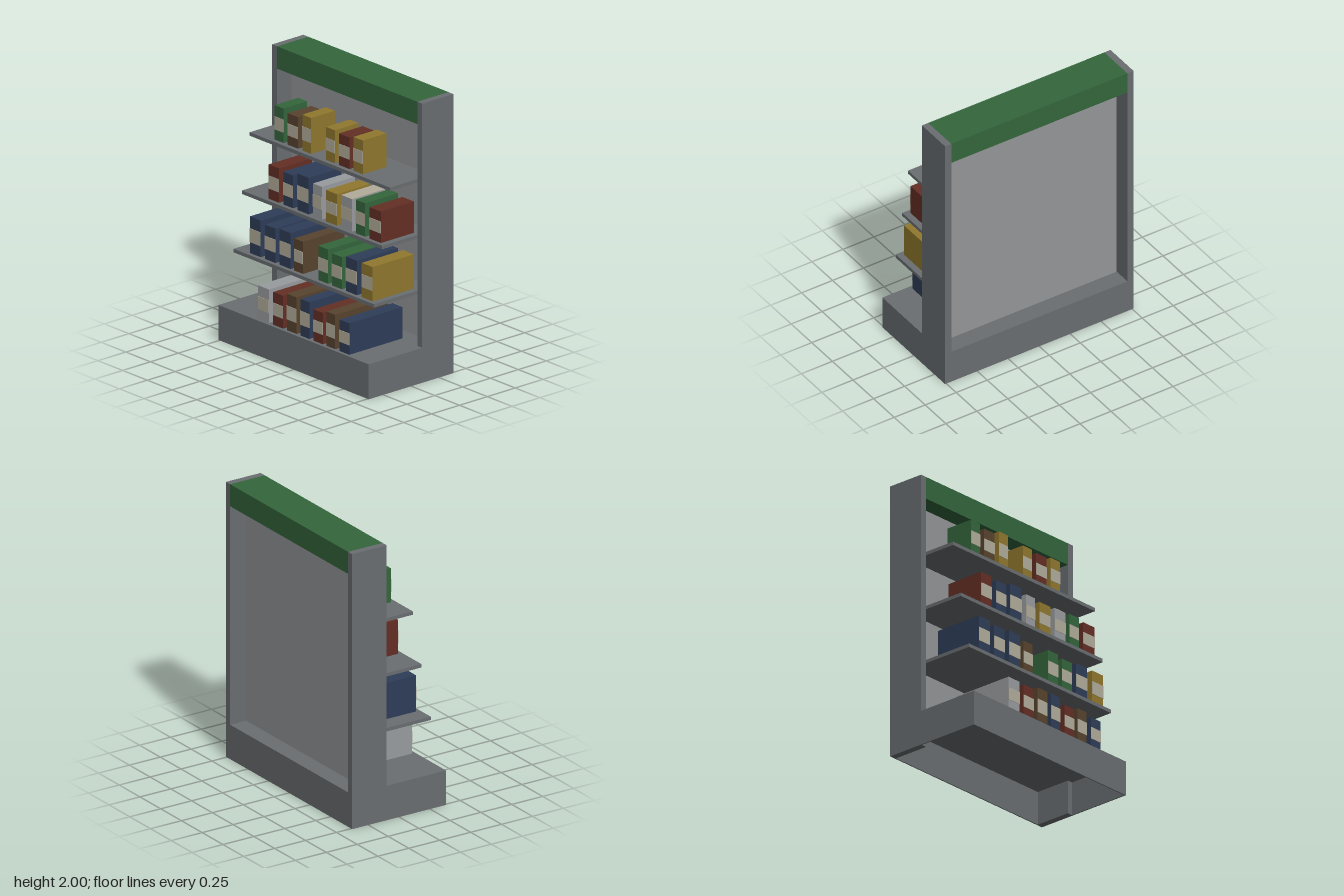
import * as THREE from 'three';

const paint = (name, color) => {
  const m = new THREE.MeshStandardMaterial({ color });
  m.name = name;
  return m;
};

export function createModel() {
  const mats = {
    frame: paint('frameGrey', 0x6a6e71),
    panel: paint('panelGrey', 0x949698),
    green: paint('green', 0x34663c),
    red: paint('red', 0x642e25),
    blue: paint('blue', 0x2e3d58),
    brown: paint('brown', 0x58442e),
    yellow: paint('yellow', 0x90782d),
    white: paint('paleGrey', 0x999c9f),
    cream: paint('cream', 0xb2ac9b),
  };
  const model = new THREE.Group();
  model.name = 'shopShelf';

  // Box given by its lower and upper limits on each axis
  const box = (name, mat, [x0, x1], [y0, y1], [z0, z1], parent = model) => {
    const mesh = new THREE.Mesh(new THREE.BoxGeometry(x1 - x0, y1 - y0, z1 - z0), mats[mat]);
    mesh.position.set((x0 + x1) / 2, (y0 + y1) / 2, (z0 + z1) / 2);
    mesh.name = name;
    parent.add(mesh);
    return mesh;
  };

  const W = 0.76, IN = 0.71, BACK = -0.38, POST = -0.1, FRONT = 0.38, DECK = 0.25;

  // Uprights, header and recessed back panel
  box('leftUpright', 'frame', [IN, W], [0, 2], [BACK, POST]);
  box('rightUpright', 'frame', [-W, -IN], [0, 2], [BACK, POST]);
  box('header', 'green', [-IN, IN], [1.84, 2], [BACK, POST]);
  box('backPanel', 'panel', [-IN, IN], [DECK, 1.84], [-0.25, -0.23]);

  // Hollow base, open underneath
  const t = 0.008;
  box('baseDeckFront', 'frame', [-W, W], [DECK - t, DECK], [POST, FRONT]);
  box('baseDeckBack', 'frame', [-IN, IN], [DECK - t, DECK], [BACK, POST]);
  box('baseFront', 'frame', [-W, W], [0, DECK - t], [FRONT - t, FRONT]);
  box('baseBack', 'frame', [-IN, IN], [0, DECK - t], [BACK, BACK + t]);
  box('baseLeftSide', 'frame', [W - t, W], [0, DECK - t], [POST, FRONT - t]);
  box('baseRightSide', 'frame', [-W, t - W], [0, DECK - t], [POST, FRONT - t]);

  // Each row: shelf top, shelf front, goods front and back, goods as [colour, centre x, width, height]
  const rows = [
    { name: 'base', top: DECK, front: 0.355, back: -0.12, goods: [
      ['white', -0.333, 0.11, 0.24], ['red', -0.185, 0.1, 0.235], ['brown', -0.048, 0.1, 0.262],
      ['blue', 0.085, 0.09, 0.262], ['red', 0.22, 0.095, 0.225], ['brown', 0.348, 0.09, 0.246],
      ['blue', 0.486, 0.1, 0.225]] },
    { name: 'lower', top: 0.645, edge: 0.29, front: 0.26, back: -0.11, goods: [
      ['blue', -0.524, 0.11, 0.262], ['blue', -0.373, 0.105, 0.246], ['blue', -0.222, 0.11, 0.257],
      ['brown', -0.085, 0.09, 0.23], ['green', 0.164, 0.1, 0.246], ['green', 0.302, 0.1, 0.23],
      ['blue', 0.45, 0.11, 0.246], ['yellow', 0.609, 0.11, 0.246]] },
    { name: 'middle', top: 1.045, edge: 0.215, front: 0.185, back: -0.11, goods: [
      ['red', -0.42, 0.105, 0.246], ['blue', -0.275, 0.1, 0.235], ['blue', -0.125, 0.115, 0.262],
      ['white', 0.021, 0.09, 0.235], ['yellow', 0.164, 0.11, 0.225], ['white', 0.317, 0.11, 0.23, true],
      ['green', 0.457, 0.095, 0.24], ['red', 0.606, 0.115, 0.225]] },
    { name: 'upper', top: 1.445, edge: 0.145, front: 0.112, back: -0.1, goods: [
      ['green', -0.45, 0.09, 0.247], ['brown', -0.31, 0.105, 0.226], ['yellow', -0.17, 0.09, 0.257],
      ['yellow', 0.07, 0.09, 0.236], ['red', 0.21, 0.105, 0.226], ['yellow', 0.35, 0.095, 0.242]] },
  ];

  for (const { name, top, edge, front, back, goods } of rows) {
    if (edge) box(`${name}Shelf`, 'frame', [-IN, IN], [top - 0.025, top], [-0.23, edge]);
    const group = new THREE.Group();
    group.name = `${name}Goods`;
    model.add(group);
    for (const [colour, x, w, h, creamLid] of goods) {
      const xs = [x - w / 2, x + w / 2];
      box('carton', colour, xs, [top, top + h], [back, front], group);
      // Thin label across the carton's front
      box('cartonLabel', 'cream', xs, [top + h * 0.3, top + h * 0.68], [front, front + 0.003], group);
      if (creamLid) box('cartonLid', 'cream', xs, [top + h, top + h + 0.003], [back, front], group);
    }
  }
  return model;
}
